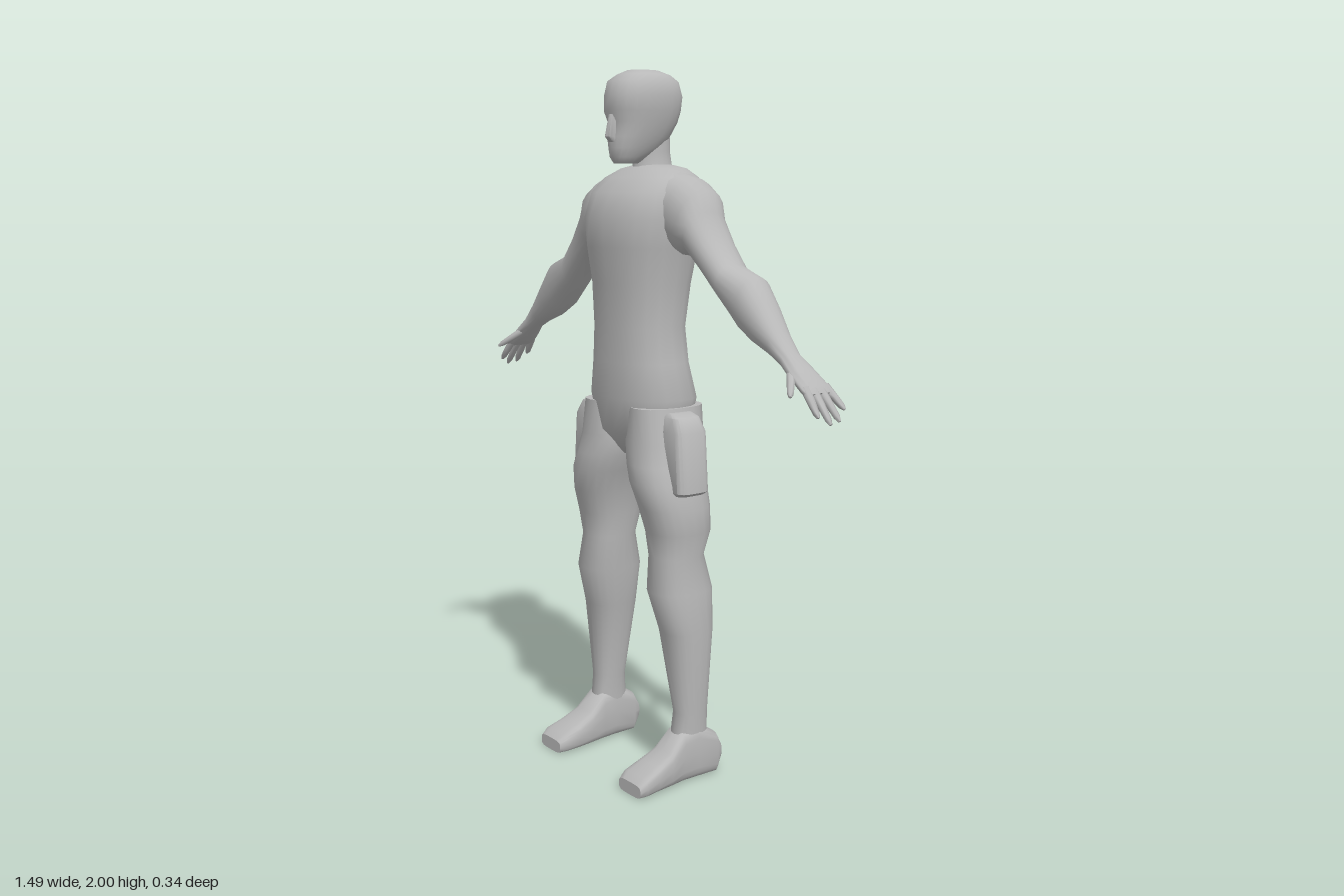
import * as THREE from 'three';
import { toCreasedNormals } from 'three/addons/utils/BufferGeometryUtils.js';

const V = (x, y, z) => new THREE.Vector3(x, y, z);

// closed superelliptic cross-section: centre c, half axes a and b, power p (1 = ellipse, lower = boxier)
function ring(c, a, b, p = 1, n = 20) {
  const pw = (t) => Math.sign(t) * Math.pow(Math.abs(t), p);
  return Array.from({ length: n }, (_, i) => {
    const t = (i / n) * Math.PI * 2;
    return c.clone().addScaledVector(a, pw(Math.cos(t))).addScaledVector(b, pw(Math.sin(t)));
  });
}

// skin over a row of rings, capped at both ends and always facing outward
function loft(rings, crease = 0.9) {
  const n = rings[0].length, m = rings.length, pts = rings.flat(), idx = [];
  for (let r = 0; r < m - 1; r++) for (let i = 0; i < n; i++) {
    const a = r * n + i, b = r * n + (i + 1) % n;
    idx.push(a, b, a + n, b, b + n, a + n);
  }
  const mid = (r) => r.reduce((s, q) => s.add(q), V(0, 0, 0)).divideScalar(n);
  pts.push(mid(rings[0]), mid(rings[m - 1]));
  for (let i = 0; i < n; i++) {
    const j = (i + 1) % n, e = (m - 1) * n;
    idx.push(m * n, j, i, m * n + 1, e + i, e + j);
  }
  let vol = 0;
  for (let i = 0; i < idx.length; i += 3)
    vol += pts[idx[i]].dot(pts[idx[i + 1]].clone().cross(pts[idx[i + 2]]));
  if (vol < 0) idx.reverse();
  const g = new THREE.BufferGeometry().setFromPoints(pts);
  g.setIndex(idx);
  return toCreasedNormals(g, crease);
}

// horizontal ring from y, inner and outer x, front and back z
const level = (y, x0, x1, zf, zb, p) =>
  ring(V((x0 + x1) / 2, y, (zf + zb) / 2), V((x1 - x0) / 2, 0, 0), V(0, 0, (zf - zb) / 2), p);

// ring of a limb from its top and bottom points, centre depth and half depth
const limb = (tx, ty, bx, by, z, rz, p) =>
  ring(V((tx + bx) / 2, (ty + by) / 2, z), V((tx - bx) / 2, (ty - by) / 2, 0), V(0, 0, rz), p);

export function createModel() {
  const model = new THREE.Group();
  const grey = new THREE.MeshStandardMaterial({ color: 0xb8b8b8 });
  grey.name = 'plain grey';
  const add = (name, rings, crease) => {
    const mesh = new THREE.Mesh(loft(rings, crease), grey);
    mesh.name = name;
    model.add(mesh);
  };

  // body rows: y, half width, front z, back z
  const body = (rows, p) => rows.map(([y, r, f, b]) => level(y, -r, r, f, b, p));
  add('torso', body([
    [0.93, 0.05, 0.03, -0.09], [1.0, 0.15, 0.08, -0.135], [1.1, 0.175, 0.095, -0.15],
    [1.2, 0.155, 0.095, -0.13], [1.3, 0.145, 0.095, -0.122], [1.42, 0.153, 0.1, -0.14],
    [1.52, 0.17, 0.112, -0.158], [1.6, 0.185, 0.115, -0.17], [1.67, 0.18, 0.09, -0.17],
    [1.71, 0.16, 0.045, -0.155], [1.735, 0.11, 0.01, -0.135], [1.745, 0.05, -0.01, -0.115],
  ], 0.85), 1.3);
  add('neck', body([[1.68, 0.07, 0.02, -0.14], [1.74, 0.05, 0, -0.118],
    [1.78, 0.045, 0, -0.112], [1.85, 0.045, 0, -0.11]]));
  add('head', body([
    [1.748, 0.027, 0.068, 0.0], [1.765, 0.038, 0.08, -0.03], [1.79, 0.05, 0.083, -0.075],
    [1.82, 0.062, 0.084, -0.105], [1.86, 0.073, 0.078, -0.128], [1.89, 0.08, 0.09, -0.138],
    [1.93, 0.084, 0.088, -0.142], [1.97, 0.077, 0.078, -0.13], [1.988, 0.06, 0.05, -0.105],
    [2.0, 0.035, 0.02, -0.07],
  ], 0.85), 1.3);
  add('nose', body([[1.805, 0.014, 0.088, 0.06], [1.82, 0.017, 0.102, 0.06], [1.88, 0.01, 0.09, 0.06]]));

  for (const s of [1, -1]) {
    const side = s > 0 ? 'left' : 'right';
    const put = (name, rings, crease) =>
      add(side + name, rings.map((r) => r.map((q) => V(q.x * s, q.y, q.z))), crease);

    // shoulder down to the palm
    put('Arm', [
      [0.11, 1.73, 0.12, 1.53, -0.055, 0.09], [0.19, 1.708, 0.16, 1.51, -0.055, 0.09],
      [0.245, 1.675, 0.18, 1.5, -0.052, 0.083], [0.262, 1.62, 0.215, 1.508, -0.05, 0.073],
      [0.31, 1.548, 0.28, 1.452, -0.05, 0.065], [0.365, 1.485, 0.345, 1.39, -0.05, 0.06],
      [0.45, 1.455, 0.42, 1.315, -0.052, 0.063], [0.5, 1.395, 0.47, 1.285, -0.05, 0.054],
      [0.555, 1.325, 0.53, 1.262, -0.045, 0.04], [0.6, 1.275, 0.577, 1.238, -0.042, 0.033],
      [0.64, 1.24, 0.617, 1.21, -0.045, 0.043], [0.685, 1.2, 0.667, 1.178, -0.048, 0.05],
      [0.695, 1.183, 0.685, 1.173, -0.05, 0.046],
    ].map((r) => limb(...r, 0.9)), 1.3);

    // fingers and thumb: start, end, thickness
    const digits = [
      [[0.67, 1.195, -0.085], [0.725, 1.14, -0.102]], [[0.675, 1.193, -0.062], [0.74, 1.115, -0.07]],
      [[0.675, 1.193, -0.038], [0.742, 1.11, -0.038]], [[0.672, 1.195, -0.015], [0.728, 1.128, -0.008]],
      [[0.615, 1.232, -0.022], [0.675, 1.178, 0.038]],
    ];
    digits.forEach(([a, b], i) => {
      const from = V(...a), to = V(...b), dir = to.clone().sub(from).normalize();
      const u = dir.clone().cross(V(0, 0, 1)).normalize(), w = dir.clone().cross(u);
      const rings = [[0, 0.013], [0.5, 0.011], [0.85, 0.009], [1, 0.004]].map(([t, r]) =>
        ring(from.clone().lerp(to, t), u.clone().multiplyScalar(r * 0.9), w.clone().multiplyScalar(r), 1, 8));
      put(i < 4 ? 'Finger' + (i + 1) : 'Thumb', rings);
    });

    // hip down to the ankle
    put('Leg', [
      [1.08, 0.03, 0.18, 0.085, -0.138], [0.98, 0.01, 0.2, 0.088, -0.135], [0.92, 0.025, 0.215, 0.096, -0.125],
      [0.87, 0.045, 0.23, 0.1, -0.12], [0.8, 0.07, 0.243, 0.085, -0.12], [0.73, 0.08, 0.243, 0.065, -0.12],
      [0.66, 0.09, 0.23, 0.055, -0.1], [0.56, 0.093, 0.245, 0.068, -0.125], [0.44, 0.112, 0.25, 0.033, -0.118],
      [0.2, 0.155, 0.24, 0.002, -0.096], [0.13, 0.155, 0.235, 0.012, -0.1], [0.06, 0.16, 0.235, 0.01, -0.11],
    ].map((r) => level(...r, 0.85)), 1.3);

    // heel to toe: z, inner x, outer x, bottom y, top y
    put('Foot', [
      [-0.145, 0.17, 0.225, 0.035, 0.085], [-0.12, 0.157, 0.24, 0, 0.125], [-0.05, 0.155, 0.24, 0, 0.16],
      [0, 0.15, 0.24, 0, 0.15], [0.05, 0.145, 0.245, 0, 0.1], [0.1, 0.14, 0.25, 0, 0.075],
      [0.15, 0.14, 0.255, 0, 0.055], [0.172, 0.148, 0.248, 0, 0.038],
    ].map(([z, x0, x1, y0, y1]) =>
      ring(V((x0 + x1) / 2, (y0 + y1) / 2, z), V((x1 - x0) / 2, 0, 0), V(0, (y1 - y0) / 2, 0), 0.5)), 0.8);

    // pouch strapped to the outer hip
    put('HipPouch', [
      [0.845, 0.16, 0.25, 0.034, -0.058], [0.855, 0.15, 0.265, 0.042, -0.065],
      [1.02, 0.14, 0.252, 0.042, -0.065], [1.06, 0.14, 0.228, 0.034, -0.058], [1.07, 0.145, 0.2, 0.025, -0.05],
    ].map((r) => level(...r, 0.45)), 0.7);
  }
  return model;
}
